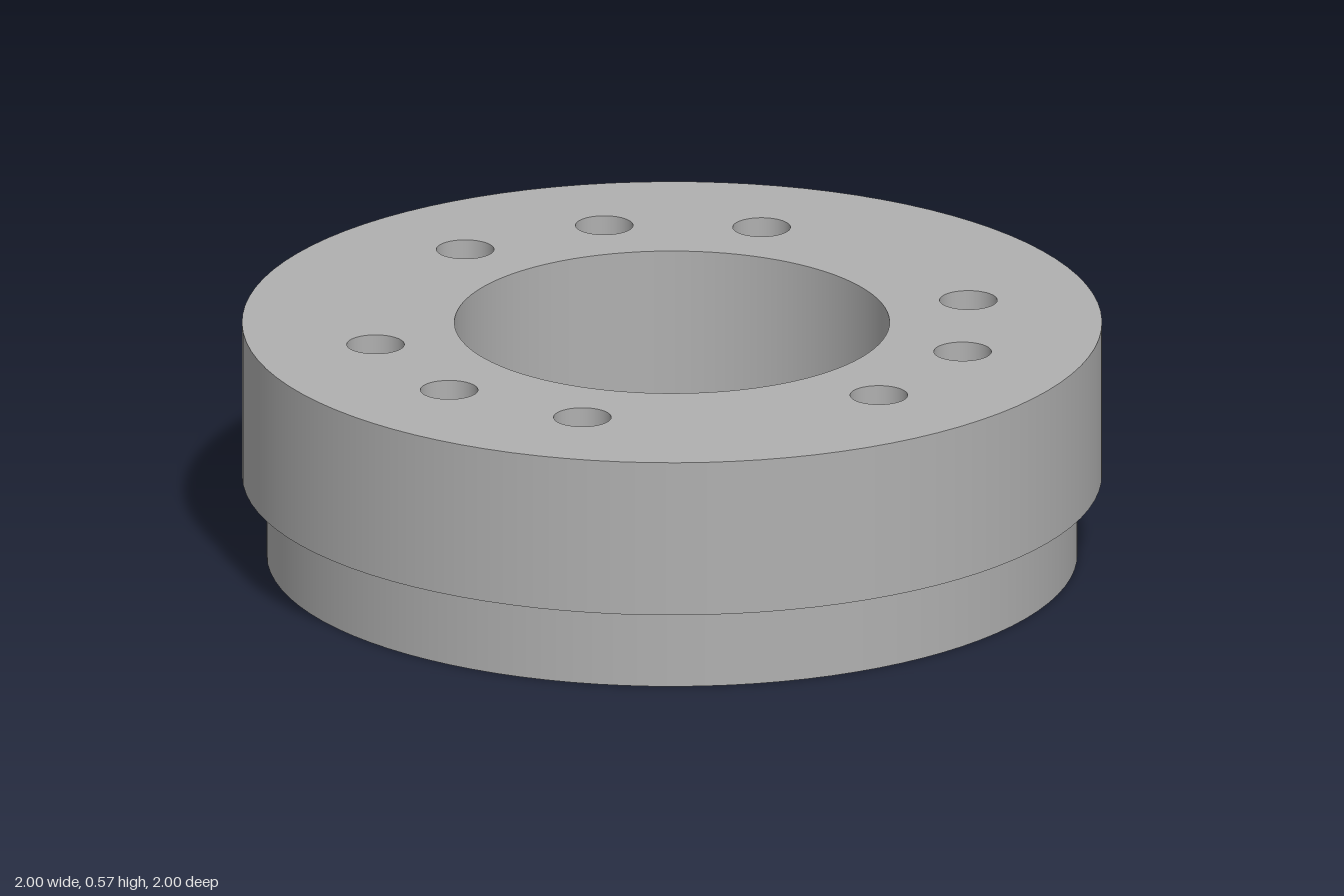
import * as THREE from 'three';

const SEG = 96;
const TOP = 0.57, STEP = 0.195, BLIND = 0.285;
const OUTER = 1, LOWER = 0.943, BORE = 0.506, HOLE = 0.067;

// Evenly spaced hole centres; angles seen from above, counter-clockwise from +x
const ring = (radius, startDeg, stepDeg, count) =>
  Array.from({ length: count }, (_, i) => {
    const a = THREE.MathUtils.degToRad(startDeg + i * stepDeg);
    return { x: radius * Math.cos(a), z: -radius * Math.sin(a) };
  });

export function createModel() {
  const group = new THREE.Group();
  const metal = new THREE.MeshStandardMaterial({ color: 0xb0b0b0 });
  metal.name = 'grey metal';

  const add = (name, geometry, x = 0, y = 0, z = 0) => {
    const mesh = new THREE.Mesh(geometry, metal);
    mesh.name = name;
    mesh.position.set(x, y, z);
    group.add(mesh);
  };

  // Round wall: faces outward when y rises, inward when y falls
  const wall = (r, y0, y1) =>
    new THREE.LatheGeometry([new THREE.Vector2(r, y0), new THREE.Vector2(r, y1)], SEG);

  // Flat horizontal ring with optional holes, facing up (+1) or down (-1)
  const face = (outer, inner, holes, dir) => {
    const shape = new THREE.Shape().absarc(0, 0, outer, 0, Math.PI * 2, false);
    const cut = (x, y, r) =>
      shape.holes.push(new THREE.Path().absarc(x, y, r, 0, Math.PI * 2, true));
    cut(0, 0, inner);
    holes.forEach((h) => cut(h.x, -dir * h.z, HOLE));
    return new THREE.ShapeGeometry(shape, SEG / 2).rotateX(-dir * Math.PI / 2);
  };

  // Three groups of three through holes, with a blind hole between groups
  const through = [0, 120, 240].flatMap((a) => ring(0.707, a - 2.8, 30, 3));
  const blind = ring(0.667, 90, 120, 3);

  // Stepped body
  add('upperRim', wall(OUTER, STEP, TOP));
  add('lowerRim', wall(LOWER, 0, STEP));
  add('centreBore', wall(BORE, TOP, 0));
  add('topFace', face(OUTER, BORE, through, 1), 0, TOP, 0);
  add('stepLedge', face(OUTER, LOWER, [], -1), 0, STEP, 0);
  add('bottomFace', face(LOWER, BORE, [...through, ...blind], -1));

  // Hole walls and the ends of the blind holes
  const throughWall = wall(HOLE, TOP, 0);
  const blindWall = wall(HOLE, BLIND, 0);
  const blindEnd = new THREE.CircleGeometry(HOLE, SEG).rotateX(Math.PI / 2);
  through.forEach((h) => add('throughHole', throughWall, h.x, 0, h.z));
  blind.forEach((h) => {
    add('blindHole', blindWall, h.x, 0, h.z);
    add('blindHoleEnd', blindEnd, h.x, BLIND, h.z);
  });

  return group;
}
